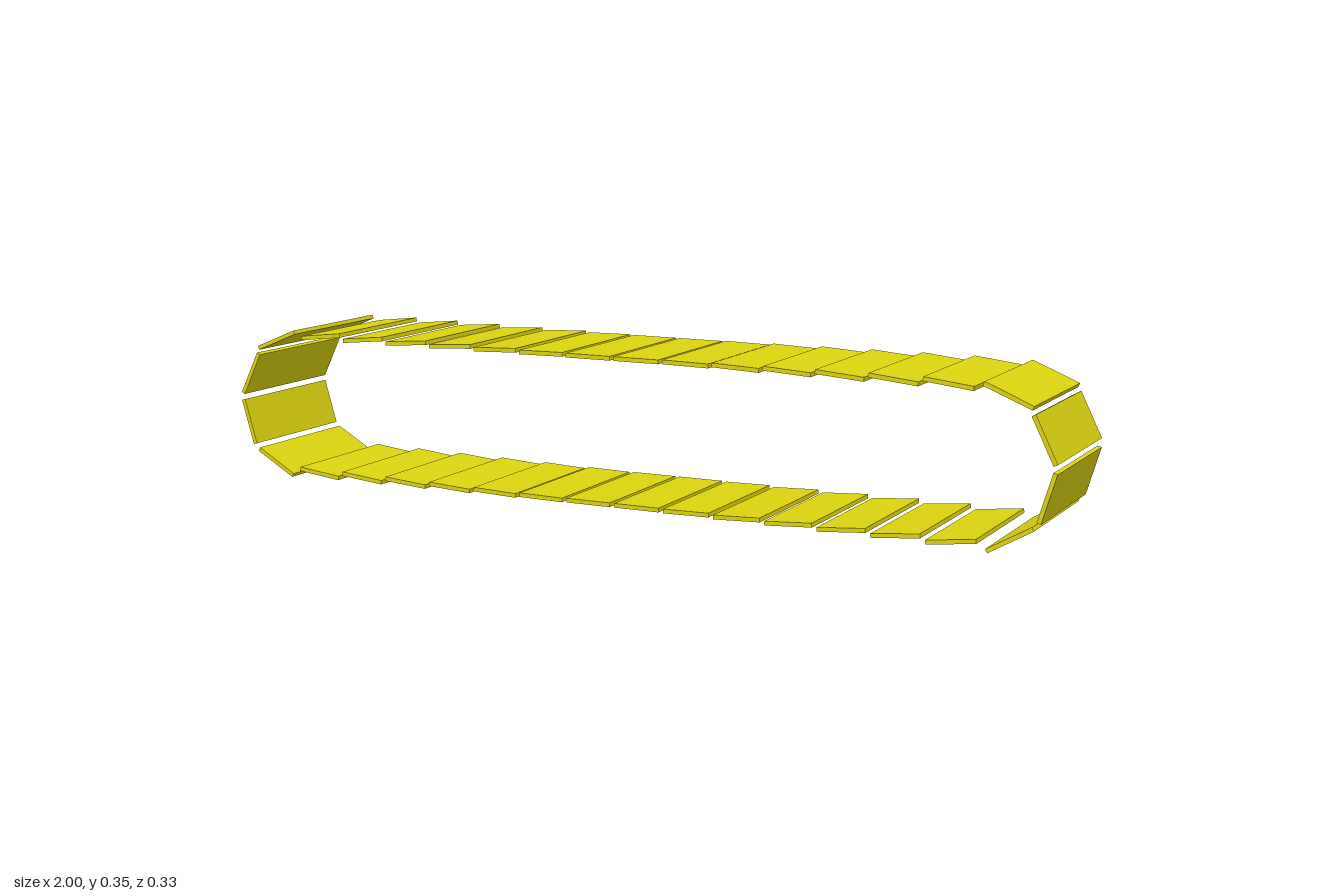
import * as THREE from 'three';

const WIDTH = 0.33, THICKNESS = 0.0095, LENGTH = 0.109;

export function createModel() {
  const group = new THREE.Group();
  group.name = 'trackBelt';
  const yellow = new THREE.MeshStandardMaterial({ color: 0xdcd20f });
  yellow.name = 'yellow';

  // One flat track plate, placed by its centre, length and tilt
  function plate(name, x, y, length, angle) {
    const mesh = new THREE.Mesh(new THREE.BoxGeometry(length, THICKNESS, WIDTH), yellow);
    mesh.name = name;
    mesh.position.set(x, y, 0);
    mesh.rotation.z = angle;
    group.add(mesh);
  }

  // Upper and lower runs: plates tilt more towards the ends
  const tilts = [0, 0.015, 0.04, 0.06, 0.08, 0.1, 0.115];
  for (const side of [-1, 1]) {
    tilts.forEach((tilt, i) => {
      plate('upperPlate', side * 0.118 * (i + 0.5), 0.342, LENGTH, -side * tilt);
      plate('lowerPlate', side * 0.12 * (i + 0.5), 0.016, LENGTH, side * tilt);
    });
  }

  // Curved ends: plate centrelines from x1, y1 to x2, y2, mirrored
  const ends = [
    ['upperCornerPlate', 0.841, 0.348, 0.945, 0.305],
    ['upperEndPlate', 0.946, 0.291, 0.994, 0.193],
    ['lowerEndPlate', 0.994, 0.177, 0.963, 0.072],
    ['lowerCornerPlate', 0.952, 0.060, 0.856, 0.005],
  ];
  for (const side of [-1, 1]) {
    for (const [name, x1, y1, x2, y2] of ends) {
      const dx = side * (x2 - x1), dy = y2 - y1;
      plate(name, side * (x1 + x2) / 2, (y1 + y2) / 2, Math.hypot(dx, dy), Math.atan2(dy, dx));
    }
  }
  return group;
}
